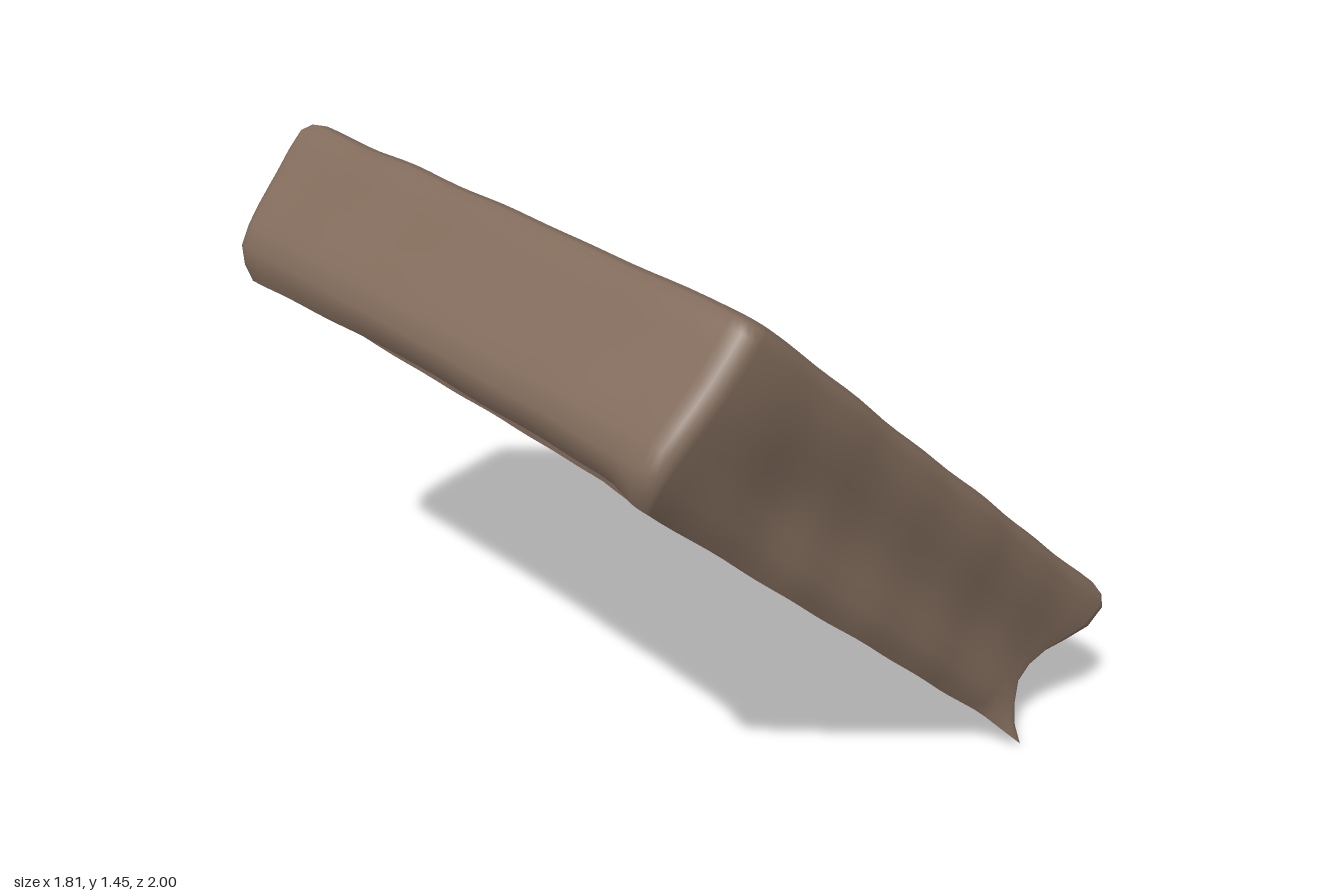
import * as THREE from 'three';

// Smooth deterministic ripple for the hand-worked surfaces
const ripple = (x, y, z) =>
  (Math.sin(9 * x + 4 * z + 3) + Math.sin(13 * z - 6 * y) + Math.sin(21 * x - 17 * z + 11 * y)) / 3;

// Small dents for the slab
const dents = (x, z) =>
  0.004 * Math.sin(19 * x + 2 * Math.sin(7 * z)) * Math.sin(16 * z + 2 * Math.sin(9 * x))
  + 0.003 * Math.sin(37 * x + 3 * Math.sin(11 * z)) * Math.sin(31 * z - 2 * Math.sin(13 * x));

const HX = 0.84, HZ = 0.852;

// Rounded rectangle outline, subdivided along its sides
function outline(radius, arc = 5, side = 26) {
  const pts = [];
  const corners = [[1, 1], [-1, 1], [-1, -1], [1, -1]];
  corners.forEach(([sx, sz], k) => {
    const cx = sx * (HX - radius), cz = sz * (HZ - radius);
    for (let i = 0; i <= arc; i++) {
      const a = (k + i / arc) * Math.PI / 2;
      pts.push([cx + radius * Math.cos(a), cz + radius * Math.sin(a)]);
    }
    const [ex, ez] = pts[pts.length - 1];
    const a = (k + 1) * Math.PI / 2;
    const [nx, nz] = corners[(k + 1) % 4];
    const tx = nx * (HX - radius) + radius * Math.cos(a);
    const tz = nz * (HZ - radius) + radius * Math.sin(a);
    for (let i = 1; i < side; i++) {
      pts.push([ex + (tx - ex) * i / side, ez + (tz - ez) * i / side]);
    }
  });
  return pts;
}

// Rim and hollow side walls: [outward offset, height, hollow amount, lip amount]
function frameGeometry() {
  const profile = [
    [-0.15, -0.03, 0, 0], [-0.147, -0.003, 0, 0], [-0.135, 0.01, 0, 0], [-0.08, 0.012, 0, 0],
    [-0.035, 0.01, 0, 0], [-0.012, -0.004, 0, 0], [0, -0.03, 0, 0], [0, -0.09, 0.1, 0],
    [-0.002, -0.15, 0.45, 0], [-0.002, -0.2, 0.8, 0], [-0.002, -0.25, 1, 0],
    [-0.004, -0.3, 1, 0], [-0.008, -0.35, 0.75, 0.1], [-0.018, -0.38, 0.55, 0.5], [-0.03, -0.395, 0.3, 1],
  ];
  const step = THREE.MathUtils.smoothstep;
  const sharp = outline(0.01), round = outline(0.05), n = round.length;
  const pos = [], index = [];
  profile.forEach(([o, h, hollow, lip], j) => {
    (j < 4 ? sharp : round).forEach(([x, z], i) => {
      const low = step(x, 0.7, 0.84), high = step(-x, 0.7, 0.84), front = step(z, 0.7, 0.85);
      const outer = j > 3 ? 1 : 0;
      const w = j > 1 ? 0.006 * ripple(x, h, z) : 0;
      // the low wall is scooped except near its back corner, the front wall except near its high corner
      const scoopLow = hollow * step(z, -0.82, -0.45);
      const scoopFront = hollow * step(x, -0.84, -0.35);
      // pulled-out tip at the low front corner
      const tip = lip * step(x, 0.72, 0.84) * step(z, 0.72, 0.85);
      const dx = low * (0.02 * outer - 0.085 * scoopLow + 0.03 * lip) + 0.05 * lip * high + 0.03 * tip;
      const dz = front * (outer * (0.015 - 0.03 * x) - 0.05 * scoopFront - 0.025 * lip * (1 - low)
        - 0.03 * step(-h, 0.1, 0.4) * step(-x, 0.2, 0.84)) + 0.04 * tip;
      const dy = -lip * (0.015 * low + 0.025 * front + 0.02 * high * step(-z, 0, 0.85));
      pos.push(x * (1 + (o + w) / HX) + dx, h + w * 0.5 + dy, z * (1 + (o + w) / HZ) + dz);
      if (j < profile.length - 1) {
        const a = j * n + i, b = j * n + (i + 1) % n;
        index.push(a, b, a + n, b, b + n, a + n);
      }
    });
  });
  const g = new THREE.BufferGeometry();
  g.setAttribute('position', new THREE.Float32BufferAttribute(pos, 3));
  g.setIndex(index);
  g.computeVertexNormals();
  return g;
}

// Rough slab filling the frame
function slabGeometry() {
  const g = new THREE.PlaneGeometry(1.39, 1.41, 80, 80).rotateX(-Math.PI / 2);
  const p = g.attributes.position;
  for (let i = 0; i < p.count; i++) p.setY(i, -0.011 + dents(p.getX(i), p.getZ(i)));
  g.computeVertexNormals();
  return g;
}

// Raised tapered step running to the front edge of the slab
function stepGeometry() {
  const s = new THREE.Shape([[-0.235, -0.325], [0.195, -0.325], [0.3, 0.7], [-0.33, 0.7]]
    .map(([x, y]) => new THREE.Vector2(x, y)));
  const g = new THREE.ExtrudeGeometry(s, {
    depth: 0.03, bevelEnabled: true, bevelThickness: 0.008, bevelSize: 0.008, bevelOffset: -0.008, bevelSegments: 2,
  });
  return g.rotateX(Math.PI / 2).translate(0, 0.017, 0);
}

export function createModel() {
  const wood = new THREE.MeshStandardMaterial({ color: 0x836d5d });
  wood.name = 'brown wood';
  const slate = new THREE.MeshStandardMaterial({ color: 0x40484f });
  slate.name = 'dark slate';
  wood.side = slate.side = THREE.DoubleSide;

  const tilted = new THREE.Group();
  tilted.name = 'tiltedPanel';
  const add = (name, geometry, material) => {
    const m = new THREE.Mesh(geometry, material);
    m.name = name;
    tilted.add(m);
    return m;
  };
  add('frame', frameGeometry(), wood);
  add('slab', slabGeometry(), slate);
  add('raisedStep', stepGeometry(), slate);

  // Small lumps at the slab edges
  [[0.68, 0.22, 0.035], [-0.67, -0.42, 0.03]].forEach(([x, z, r]) => {
    const lump = add('lump', new THREE.SphereGeometry(r, 12, 8), slate);
    lump.scale.y = 0.6;
    lump.position.set(x, 0, z);
  });

  // Lean the panel down towards +x and turn it slightly
  const across = new THREE.Vector3(0.225, -0.018, 0.976).normalize();
  const down = new THREE.Vector3(0.741, -0.645, -0.181);
  const normal = new THREE.Vector3().crossVectors(across, down).normalize();
  down.crossVectors(normal, across).normalize();
  tilted.quaternion.setFromRotationMatrix(new THREE.Matrix4().makeBasis(down, normal, across));
  tilted.position.set(0.105, 0.88, -0.025);

  const model = new THREE.Group();
  model.name = 'framedPanel';
  model.add(tilted);
  return model;
}
